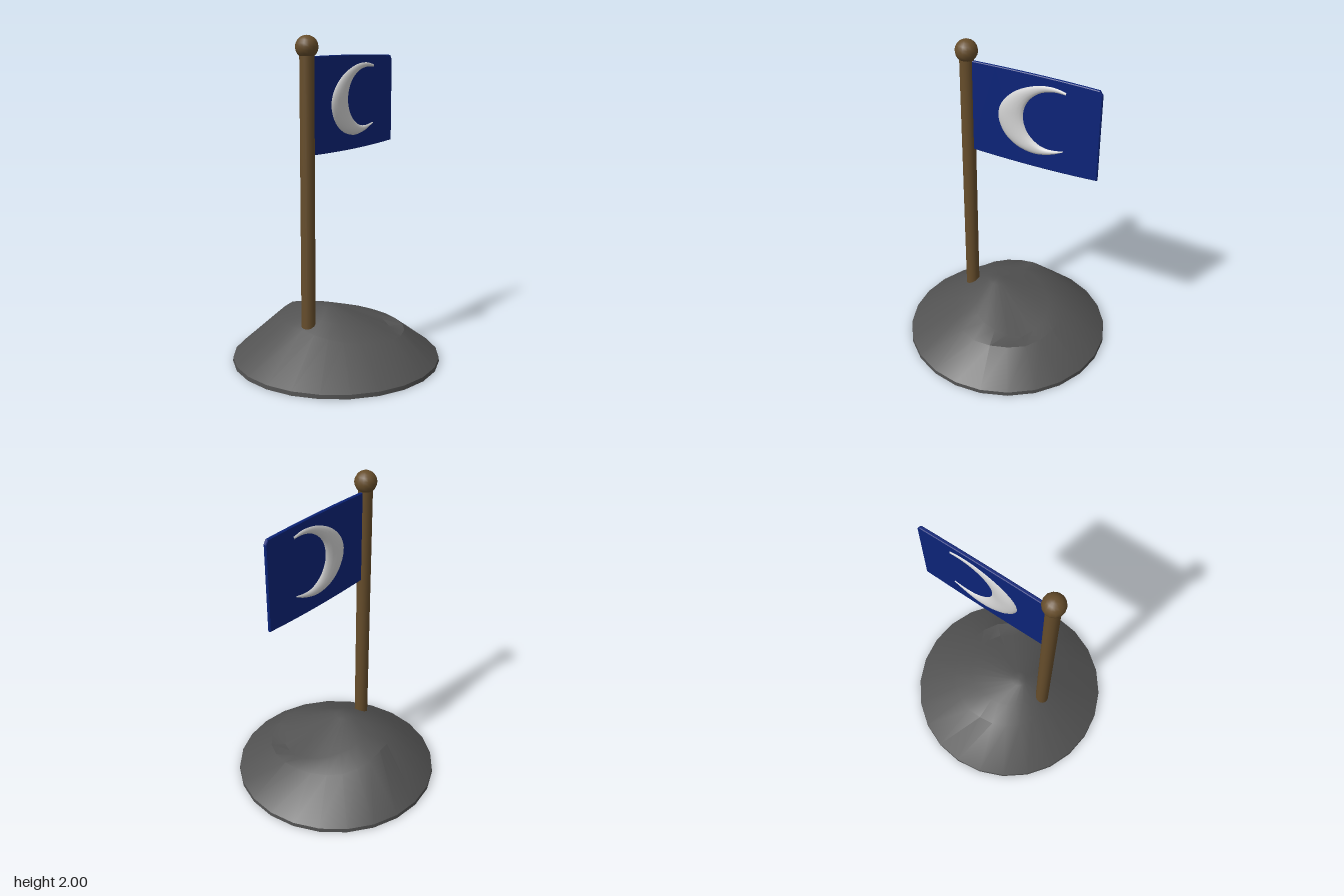
import * as THREE from 'three';
import { mergeVertices, toCreasedNormals } from 'three/addons/utils/BufferGeometryUtils.js';

const material = (name, color, side = THREE.FrontSide) => {
  const m = new THREE.MeshStandardMaterial({ color, side });
  m.name = name;
  return m;
};

// Skin a grid of rows of points; every row is a closed loop.
function loft(rows) {
  const n = rows[0].length, index = [];
  for (let j = 0; j < rows.length - 1; j++) {
    for (let i = 0; i < n; i++) {
      const a = j * n + i, b = j * n + (i + 1) % n;
      index.push(a, a + n, b, b, a + n, b + n);
    }
  }
  const geometry = new THREE.BufferGeometry();
  geometry.setAttribute('position', new THREE.Float32BufferAttribute(rows.flat(2), 3));
  geometry.setIndex(index);
  return geometry;
}

// Uneven mound: rings whose radius and height change with direction.
function moundGeometry() {
  const sides = 24;
  // one [radius, height] pair every 45 degrees, from +x towards +z
  const shoulder = [[.39, .21], [.43, .19], [.43, .2], [.35, .22], [.32, .265], [.36, .27], [.36, .29], [.38, .23]];
  const upper = [[.3, .235], [.34, .187], [.3, .245], [.22, .29], [.22, .315], [.22, .32], [.22, .32], [.24, .28]];
  const ring = (table) => Array.from({ length: sides }, (_, i) => {
    const s = i / sides * 8, k = Math.floor(s), f = s - k, a = i / sides * Math.PI * 2;
    const [p, q] = [table[k], table[(k + 1) % 8]];
    const r = p[0] + (q[0] - p[0]) * f;
    return [Math.cos(a) * r, p[1] + (q[1] - p[1]) * f, Math.sin(a) * r];
  });
  const even = (r, y, cx = 0) => Array.from({ length: sides }, (_, i) => {
    const a = i / sides * Math.PI * 2;
    return [cx + Math.cos(a) * r, y, Math.sin(a) * r];
  });
  return toCreasedNormals(loft([
    even(0, 0), even(0.65, 0), even(0.648, 0.025), ring(shoulder), ring(upper),
    even(0.05, 0.36, -0.08), even(0, 0.365, -0.08),
  ]), 0.5);
}

// Padded crescent: lens-shaped sections between an outer and an inner curve.
function crescentGeometry() {
  const curve = (pts) => new THREE.CatmullRomCurve3(pts.map(([x, y]) => new THREE.Vector3(x, y, 0)));
  const outer = curve([[.37, 1.828], [.3, 1.842], [.19, 1.83], [.05, 1.765], [-.04, 1.67], [-.062, 1.58],
    [-.02, 1.48], [.06, 1.42], [.17, 1.395], [.28, 1.415], [.365, 1.455]]);
  const inner = curve([[.37, 1.808], [.3, 1.808], [.22, 1.785], [.15, 1.73], [.115, 1.66], [.115, 1.58],
    [.15, 1.51], [.21, 1.465], [.26, 1.452], [.31, 1.455], [.365, 1.464]]);
  const steps = 40, around = 16, rows = [];
  for (let j = 0; j <= steps; j++) {
    const o = outer.getPoint(j / steps), n = inner.getPoint(j / steps);
    const mid = o.clone().add(n).multiplyScalar(0.5), half = o.clone().sub(mid);
    const thick = 0.014 + 0.018 * Math.min(1, half.length() / 0.08);
    rows.push(Array.from({ length: around }, (_, k) => {
      const a = k / around * Math.PI * 2, c = Math.cos(a);
      return [mid.x + half.x * c, mid.y + half.y * c, thick * Math.sin(a)];
    }));
  }
  const geometry = mergeVertices(loft(rows));
  geometry.computeVertexNormals();
  return geometry;
}

// Thin cloth panel with gently bowed edges.
function clothGeometry() {
  const s = new THREE.Shape();
  s.moveTo(-0.25, 1.314);
  s.quadraticCurveTo(0.2, 1.305, 0.575, 1.336);
  s.lineTo(0.575, 1.855);
  s.lineTo(0.56, 1.878);
  s.quadraticCurveTo(0.2, 1.89, -0.25, 1.875);
  s.closePath();
  const geometry = new THREE.ExtrudeGeometry(s, {
    depth: 0.012, bevelEnabled: true, bevelThickness: 0.004, bevelSize: 0.004, bevelSegments: 1, curveSegments: 10,
  });
  return geometry.translate(0, 0, -0.006);
}

export function createModel() {
  const group = new THREE.Group();
  group.name = 'flagOnMound';
  const stone = material('dark grey stone', 0x525252);
  const wood = material('brown wood', 0x664d2b);
  const blue = material('deep blue cloth', 0x0c2478);
  const pale = material('pale grey emblem', 0xd2d2d2, THREE.DoubleSide);

  const add = (name, geometry, mat, x = 0, y = 0) => {
    const mesh = new THREE.Mesh(geometry, mat);
    mesh.name = name;
    mesh.position.set(x, y, 0);
    group.add(mesh);
  };

  add('mound', moundGeometry(), stone);
  add('pole', new THREE.CylinderGeometry(0.043, 0.043, 1.7, 16), wood, -0.27, 1.05);
  add('poleKnob', new THREE.SphereGeometry(0.067, 14, 10), wood, -0.27, 1.933);
  add('flagCloth', clothGeometry(), blue);
  add('crescent', crescentGeometry(), pale);
  return group;
}
